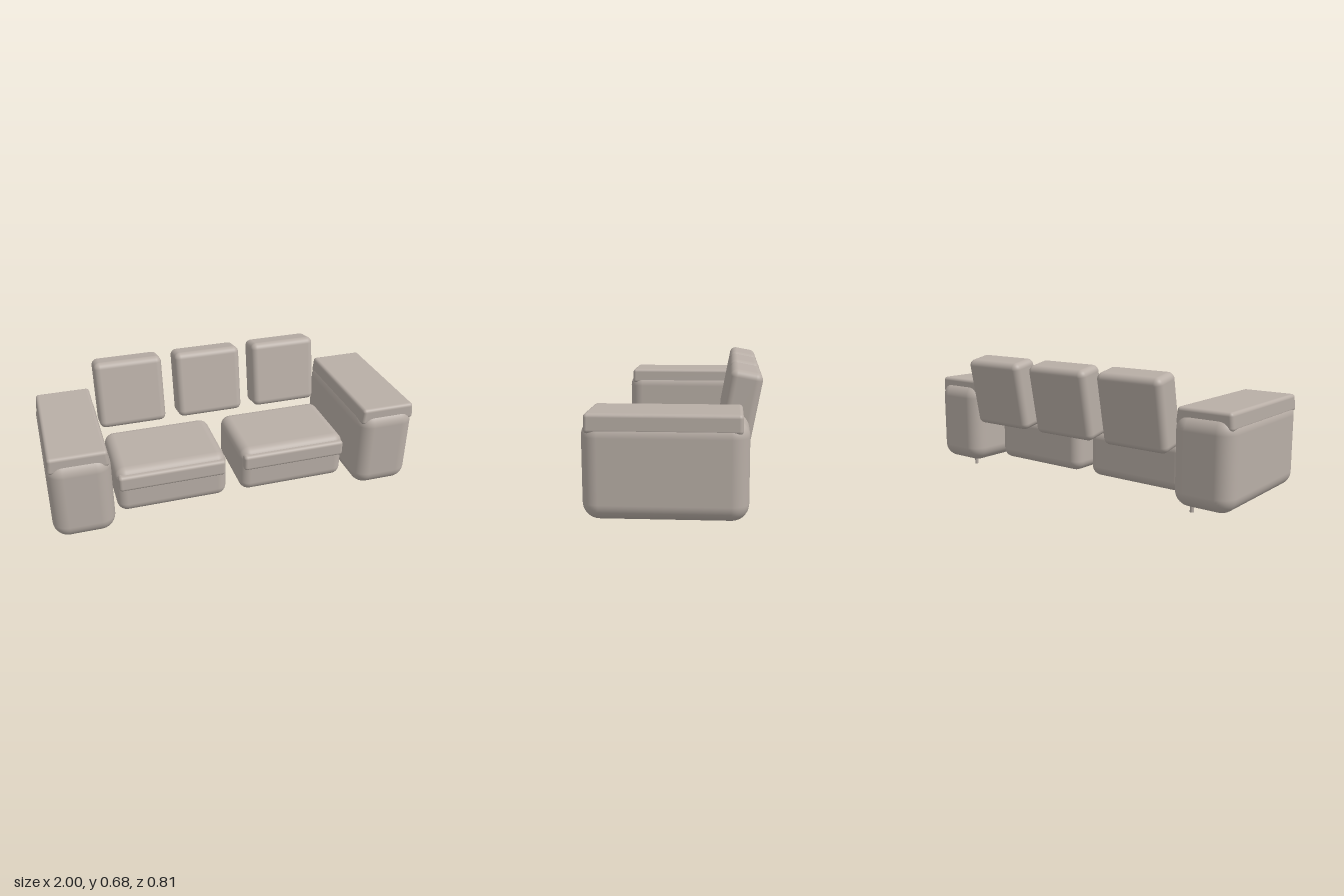
import * as THREE from 'three';
import { RoundedBoxGeometry } from 'three/addons/geometries/RoundedBoxGeometry.js';

const fabric = new THREE.MeshStandardMaterial({ color: 0xb8aea6 });

// Soft block given by its extents on each axis
function block(name, [x0, x1], [y0, y1], [z0, z1], radius) {
  const geometry = new RoundedBoxGeometry(x1 - x0, y1 - y0, z1 - z0, 6, radius);
  const mesh = new THREE.Mesh(geometry, fabric);
  mesh.name = name;
  mesh.position.set((x0 + x1) / 2, (y0 + y1) / 2, (z0 + z1) / 2);
  return mesh;
}

// Extents on the +x side, or mirrored to the -x side
const mirrorX = ([a, b], side) => (side > 0 ? [a, b] : [-b, -a]);

function createSide(side) {
  const group = new THREE.Group();
  const label = side > 0 ? 'left' : 'right';
  group.name = label + 'Side';

  // Armrest body
  group.add(block(label + 'Arm', mirrorX([0.675, 0.998], side), [0.03, 0.492], [-0.345, 0.405], 0.08));

  // Pad on the armrest, its lower edge slightly flared
  const pad = block(label + 'ArmPad', mirrorX([0.69, 0.986], side), [0.43, 0.52], [-0.315, 0.385], 0.018);
  const p = pad.geometry.attributes.position;
  for (let i = 0; i < p.count; i++) {
    if (p.getY(i) < 0) p.setX(i, p.getX(i) * 1.04);
  }
  pad.geometry.computeBoundingSphere();
  group.add(pad);

  // Seat cushion with a front flap
  group.add(block(label + 'Seat', mirrorX([0.04, 0.648], side), [0.04, 0.305], [-0.17, 0.275], 0.055));
  group.add(block(label + 'SeatFlap', mirrorX([0.053, 0.637], side), [0.19, 0.28], [0.2, 0.29], 0.018));

  // Short legs under the armrest
  for (const [end, z] of [['Front', 0.286], ['Back', -0.27]]) {
    const leg = new THREE.Mesh(new THREE.CylinderGeometry(0.011, 0.01, 0.05, 16), fabric);
    leg.name = label + end + 'Leg';
    leg.position.set(side * 0.762, 0.025, z);
    group.add(leg);
  }
  return group;
}

export function createModel() {
  const sofa = new THREE.Group();
  sofa.name = 'sofa';
  sofa.add(createSide(1), createSide(-1));

  // Three leaning back cushions
  ['right', 'middle', 'left'].forEach((label, i) => {
    const x = (i - 1) * 0.462;
    const back = block(label + 'BackCushion', [x - 0.192, x + 0.192], [0.286, 0.67], [-0.3815, -0.2235], 0.035);
    back.rotation.x = -0.187;
    sofa.add(back);
  });
  return sofa;
}
